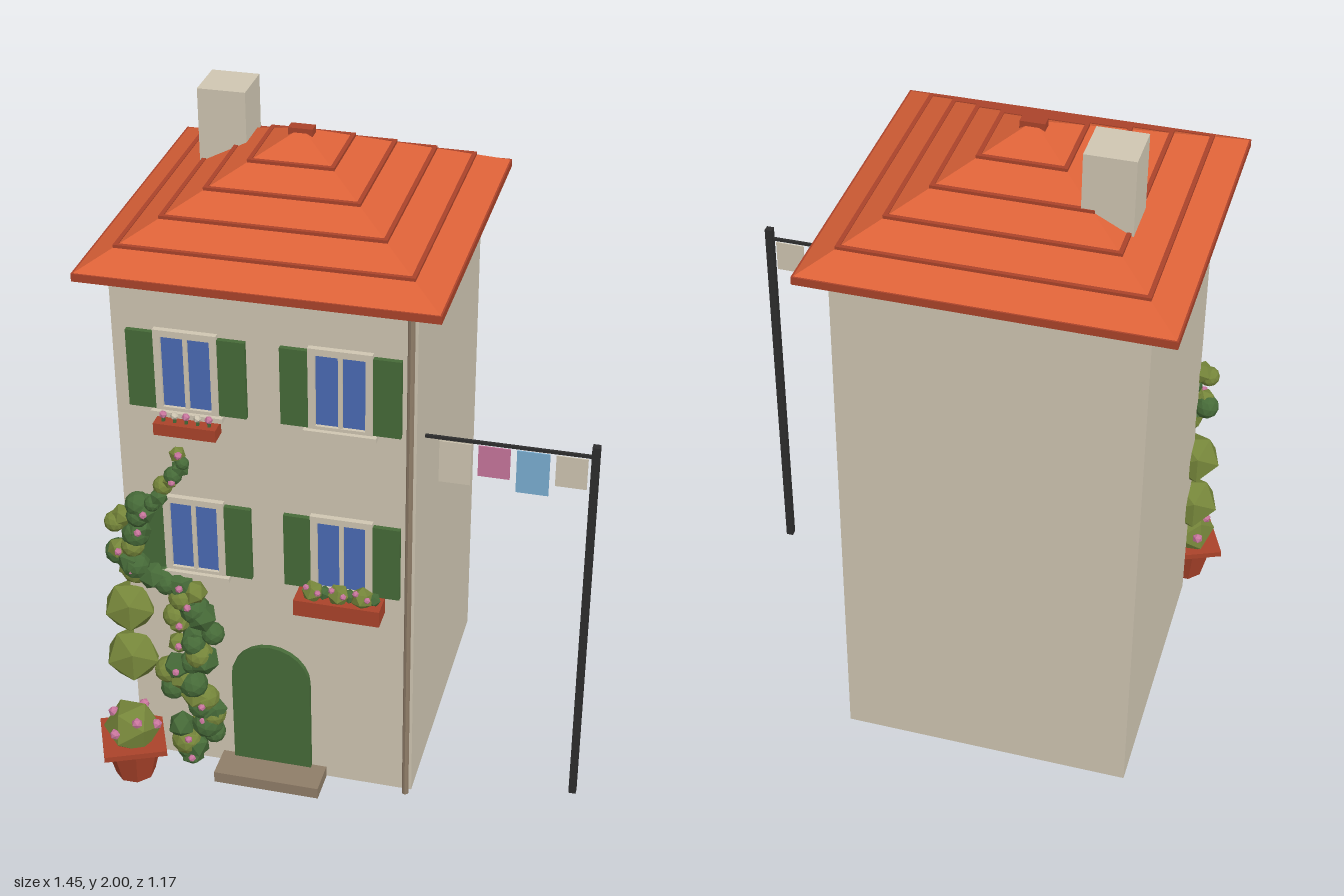
import * as THREE from 'three';

const mat = (name, color, opts = {}) => {
  const m = new THREE.MeshStandardMaterial({ color, flatShading: true, ...opts });
  m.name = name;
  return m;
};

export function createModel() {
  const M = {
    wall: mat('cream plaster', 0xcfc6b2, { side: THREE.DoubleSide }),
    roof: mat('orange tile', 0xdd6238),
    clay: mat('terracotta', 0xaa432a),
    green: mat('dark green', 0x466a38),
    olive: mat('olive leaf', 0x75853a),
    glass: mat('blue glass', 0x4a6ab4),
    pink: mat('pink', 0xc7759c, { side: THREE.DoubleSide }),
    sky: mat('sky blue cloth', 0x7aaed2, { side: THREE.DoubleSide }),
    iron: mat('dark iron', 0x2d2d2d),
    stone: mat('brown stone', 0x8f7d68),
  };
  const house = new THREE.Group();
  house.name = 'house';

  let seed = 7;
  const rnd = () => (seed = (seed * 16807) % 2147483647) / 2147483647;

  const add = (name, geo, material, x, y, z, parent = house) => {
    const mesh = new THREE.Mesh(geo, material);
    mesh.name = name;
    mesh.position.set(x, y, z);
    parent.add(mesh);
    return mesh;
  };
  // box given by its limits on each axis
  const box = (name, material, x0, x1, y0, y1, z0, z1, parent) =>
    add(name, new THREE.BoxGeometry(x1 - x0, y1 - y0, z1 - z0), material,
      (x0 + x1) / 2, (y0 + y1) / 2, (z0 + z1) / 2, parent);
  const group = (name) => {
    const g = new THREE.Group();
    g.name = name;
    house.add(g);
    return g;
  };
  const CX = -0.19, CZ = -0.08, FRONT = 0.355;

  // walls and chimney
  box('walls', M.wall, -0.617, 0.24, 0.015, 1.67, -0.515, FRONT);
  box('chimney', M.wall, -0.513, -0.373, 1.7, 2, -0.297, -0.153);

  // hipped roof with raised tile courses
  const roof = group('roof');
  box('eaves', M.clay, CX - 0.505, CX + 0.505, 1.663, 1.686, CZ - 0.505, CZ + 0.505, roof);
  const pyramid = new THREE.ConeGeometry(0.5 * Math.SQRT2, 0.26, 4, 1);
  pyramid.rotateY(Math.PI / 4);
  add('roofSlopes', pyramid, M.roof, CX, 1.686 + 0.13, CZ, roof);
  for (const h of [0.415, 0.317, 0.22, 0.123]) {
    const y = 1.686 + (0.5 - h) * 0.52;
    for (const s of [-1, 1]) {
      add('tileCourse', new THREE.BoxGeometry(2 * h, 0.012, 0.012), M.clay, CX, y + 0.003, CZ + s * (h - 0.006), roof);
      add('tileCourse', new THREE.BoxGeometry(0.012, 0.012, 2 * h - 0.024), M.clay, CX + s * (h - 0.006), y + 0.003, CZ, roof);
    }
  }
  box('roofCap', M.clay, CX - 0.035, CX + 0.035, 1.92, 1.95, CZ - 0.018, CZ + 0.018, roof);

  // drainpipe
  add('drainpipe', new THREE.CylinderGeometry(0.01, 0.01, 1.65, 8), M.stone, 0.225, 0.84, 0.372);

  // door and step
  const arch = new THREE.Shape();
  arch.moveTo(-0.12, 0.05);
  arch.lineTo(0.12, 0.05);
  arch.lineTo(0.12, 0.365);
  arch.absarc(0, 0.365, 0.12, 0, Math.PI, false);
  arch.closePath();
  add('door', new THREE.ExtrudeGeometry(arch, { depth: 0.02, bevelEnabled: false, curveSegments: 6 }),
    M.green, CX, 0, FRONT - 0.005);
  box('doorStep', M.stone, -0.35, -0.025, 0.013, 0.05, FRONT - 0.01, 0.46);

  // four windows with frames, panes, sills and shutters
  for (const x of [-0.405, 0.03]) for (const y of [0.845, 1.385]) {
    const w = group('window');
    box('sill', M.wall, x - 0.103, x + 0.103, y - 0.135, y - 0.12, FRONT - 0.005, 0.385, w);
    box('frameTop', M.wall, x - 0.09, x + 0.09, y + 0.11, y + 0.13, FRONT - 0.005, 0.372, w);
    box('frameBottom', M.wall, x - 0.09, x + 0.09, y - 0.12, y - 0.11, FRONT - 0.005, 0.372, w);
    box('mullion', M.wall, x - 0.006, x + 0.006, y - 0.11, y + 0.11, FRONT - 0.005, 0.37, w);
    for (const s of [-1, 1]) {
      add('frameSide', new THREE.BoxGeometry(0.02, 0.22, 0.022), M.wall, x + s * 0.08, y, 0.361, w);
      add('pane', new THREE.BoxGeometry(0.064, 0.22, 0.008), M.glass, x + s * 0.038, y, 0.358, w);
      add('shutter', new THREE.BoxGeometry(0.078, 0.238, 0.018), M.green, x + s * 0.13, y, 0.361, w);
    }
  }

  const leaf = (name, r, m, x, y, z, parent, detail = 0) => {
    const p = add(name, new THREE.IcosahedronGeometry(r, detail), m, x, y, z, parent);
    p.rotation.set(rnd() * 3, rnd() * 3, rnd() * 3);
    return p;
  };

  // window boxes
  const upperBox = group('upperWindowBox');
  box('planter', M.clay, -0.495, -0.315, 1.203, 1.24, FRONT - 0.005, 0.41, upperBox);
  for (let i = 0; i < 5; i++) {
    const x = -0.47 + i * 0.033;
    box('stem', M.green, x - 0.004, x + 0.004, 1.235, 1.26, 0.386, 0.394, upperBox);
    leaf('blossom', 0.012, i % 2 ? M.wall : M.pink, x, 1.262, 0.392, upperBox);
  }
  const lowerBox = group('lowerWindowBox');
  box('planter', M.clay, -0.097, 0.155, 0.668, 0.72, FRONT - 0.005, 0.432, lowerBox);
  for (const x of [-0.045, 0.03, 0.1]) {
    leaf('plant', 0.034, M.olive, x, 0.742, 0.405, lowerBox);
    leaf('plantSide', 0.022, M.green, x + 0.03, 0.735, 0.395, lowerBox);
    leaf('blossom', 0.01, M.pink, x - 0.015, 0.768, 0.425, lowerBox);
    leaf('blossom', 0.01, M.pink, x + 0.02, 0.755, 0.43, lowerBox);
  }

  // climbing plant: leaf clumps strewn along a winding stem
  const ivy = group('climbingPlant');
  const stem = (pts) => new THREE.CatmullRomCurve3(pts.map(([x, y]) => new THREE.Vector3(x, y, 0.375)));
  const strew = (curve, count, spread, r0, r1) => {
    for (let i = 0; i < count; i++) {
      const t = i / (count - 1), p = curve.getPoint(t);
      const r = THREE.MathUtils.lerp(r0, r1, t) * (0.8 + 0.4 * rnd());
      const x = p.x + (rnd() - 0.5) * spread, z = p.z + (rnd() - 0.3) * 0.02;
      leaf('leafClump', r, i % 5 < 3 ? M.green : M.olive, x, p.y, z, ivy, i % 2).scale.setScalar(0.95);
      if (i % 4 === 0) leaf('blossom', 0.012, M.pink, x + 0.01, p.y + 0.01, z + r * 0.9, ivy);
    }
  };
  strew(stem([[-0.46, 0.05], [-0.42, 0.2], [-0.47, 0.33], [-0.41, 0.5], [-0.46, 0.68]]), 36, 0.12, 0.045, 0.043);
  strew(stem([[-0.47, 0.68], [-0.6, 0.74], [-0.61, 0.84], [-0.58, 0.94]]), 18, 0.08, 0.042, 0.037);
  strew(stem([[-0.55, 0.93], [-0.51, 0.98], [-0.47, 1.04], [-0.44, 1.08], [-0.43, 1.125]]), 9, 0.025, 0.033, 0.023);
  leaf('leafBall', 0.083, M.olive, -0.62, 0.56, 0.36, ivy).rotation.set(0, 0.3, 0);
  leaf('leafBall', 0.088, M.olive, -0.62, 0.38, 0.36, ivy).rotation.set(0, 0.3, 0);

  // flower pot with a square rim
  const pot = group('flowerPot');
  pot.position.set(-0.603, 0, 0.457);
  pot.rotation.y = 0.41;
  add('potBody', new THREE.CylinderGeometry(0.09, 0.06, 0.122, 8), M.clay, 0, 0.066, 0, pot);
  add('potRim', new THREE.BoxGeometry(0.188, 0.018, 0.188), M.clay, 0, 0.135, 0, pot);
  add('bush', new THREE.IcosahedronGeometry(0.087, 0), M.olive, 0, 0.18, 0, pot).rotation.set(0.2, 0.4, 0);
  for (let i = 0; i < 6; i++) {
    const a = i * 1.05 + 0.3, h = i % 2 ? 0.05 : 0.015, r = i % 2 ? 0.055 : 0.075;
    leaf('blossom', 0.017, M.pink, Math.cos(a) * r, 0.18 + h, Math.sin(a) * r, pot);
  }

  // washing line with cloths
  const wash = group('washingLine');
  box('pole', M.iron, 0.704, 0.726, 0.013, 1.243, 0.232, 0.254, wash);
  box('line', M.iron, 0.24, 0.715, 1.204, 1.213, 0.239, 0.247, wash);
  [[0.28, 0.37, 1.065, M.wall], [0.39, 0.48, 1.1, M.pink], [0.498, 0.59, 1.063, M.sky], [0.607, 0.695, 1.1, M.wall]]
    .forEach(([x0, x1, y0, m]) => box('cloth', m, x0, x1, y0, 1.198, 0.241, 0.245, wash));

  return house;
}
